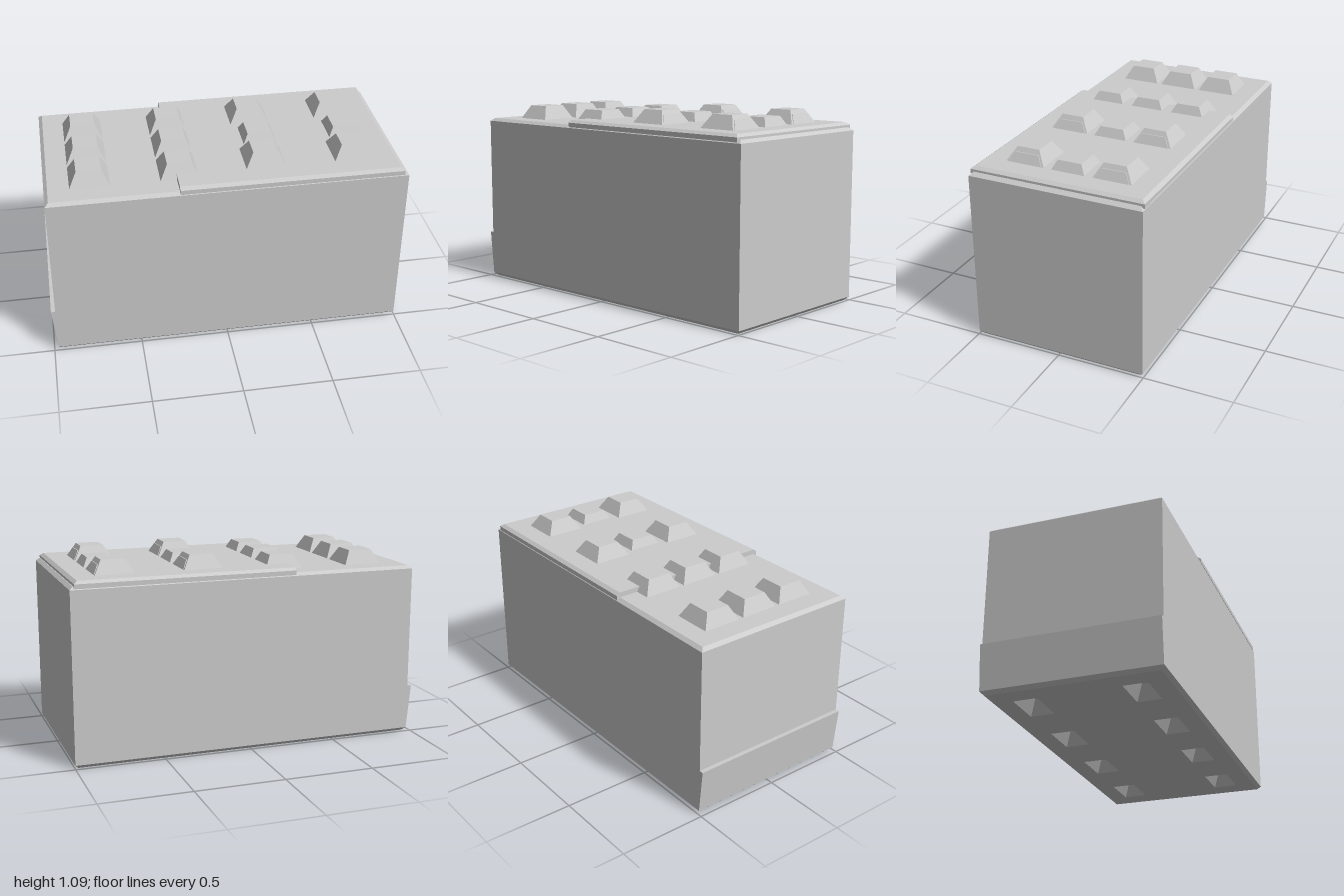
import * as THREE from 'three';

const material = new THREE.MeshStandardMaterial({ color: 0xcccccc, flatShading: true });

// Faceted solid through rectangular rings [x0, x1, z0, z1, y].
// Rings listed upward face outward; listed downward they face inward.
function loft(rings, startCap = true, endCap = true) {
  const pos = [];
  const corners = rings.map(([x0, x1, z0, z1, y]) =>
    [[x0, y, z0], [x1, y, z0], [x1, y, z1], [x0, y, z1]]);
  const quad = (a, b, c, d) => [a, b, c, a, c, d].forEach((p) => pos.push(...p));
  for (let i = 0; i + 1 < corners.length; i++) {
    const lo = corners[i], hi = corners[i + 1];
    for (let k = 0; k < 4; k++) {
      const n = (k + 1) % 4;
      quad(lo[k], hi[k], hi[n], lo[n]);
    }
  }
  if (startCap) quad(...corners[0]);
  if (endCap) quad(...[...corners[corners.length - 1]].reverse());
  const geometry = new THREE.BufferGeometry();
  geometry.setAttribute('position', new THREE.Float32BufferAttribute(pos, 3));
  geometry.computeVertexNormals();
  return geometry;
}

// Rectangle ring centred on (x, z)
const ring = (x, z, hx, hz, y) => [x - hx, x + hx, z - hz, z + hz, y];

export function createModel() {
  const group = new THREE.Group();
  const add = (name, geometry) => {
    const mesh = new THREE.Mesh(geometry, material);
    mesh.name = name;
    group.add(mesh);
  };
  const L = -0.976, R = 1, Z = 0.495, B = 0.02;
  const columns = [-0.73, -0.24, 0.25, 0.745];

  // Main block, chamfered at the top and bottom, open underneath
  add('body', loft([
    [L + B, R - B, -Z + B, Z - B, 0],
    [L, R, -Z, Z, 0.02],
    [L, R, -Z, Z, 0.97],
    [L + B, R - B, -Z + B, Z - B, 0.987],
  ], false));

  // Raised top slab with chamfers on three edges
  add('topSlab', loft([
    [-0.26, 0.976, -Z, Z, 0.975],
    [-0.26, 0.976, -Z, Z, 1.0],
    [-0.26, 0.957, -Z + B, Z - B, 1.015],
  ]));

  // Sloping lip along the right end
  add('endLip', loft([[L, -0.9, -Z, Z, 0.02], [-1, -0.9, -Z, Z, 0.275]]));

  // Studs: three rows of low ones, with taller ones over the outer left pairs
  columns.forEach((x, c) => {
    for (const z of [-0.25, 0, 0.25]) {
      add('stud', loft([ring(x, z, 0.113, 0.115, 0.98), ring(x, z, 0.068, 0.068, 1.065)]));
      if (c > 1 && z !== 0) {
        add('tallStud', loft([
          ring(x - 0.018, z, 0.113, 0.113, 1.01),
          ring(x - 0.018, z, 0.066, 0.064, 1.09),
        ]));
      }
    }
  });

  // Underside with two rows of tapered sockets
  const rect = (Type, x0, x1, z0, z1) => new Type(
    [[x0, z0], [x1, z0], [x1, z1], [x0, z1]].map((p) => new THREE.Vector2(...p)));
  const base = rect(THREE.Shape, L + B, R - B, -Z + B, Z - B);
  for (const x of columns) {
    for (const z of [-0.3, 0.3]) {
      base.holes.push(rect(THREE.Path, x - 0.112, x + 0.112, z - 0.068, z + 0.068));
      add('socket', loft([
        ring(x, z, 0.068, 0.028, 0.08),
        ring(x, z, 0.112, 0.068, 0),
      ], true, false));
    }
  }
  add('underside', new THREE.ShapeGeometry(base).rotateX(Math.PI / 2));

  return group;
}
